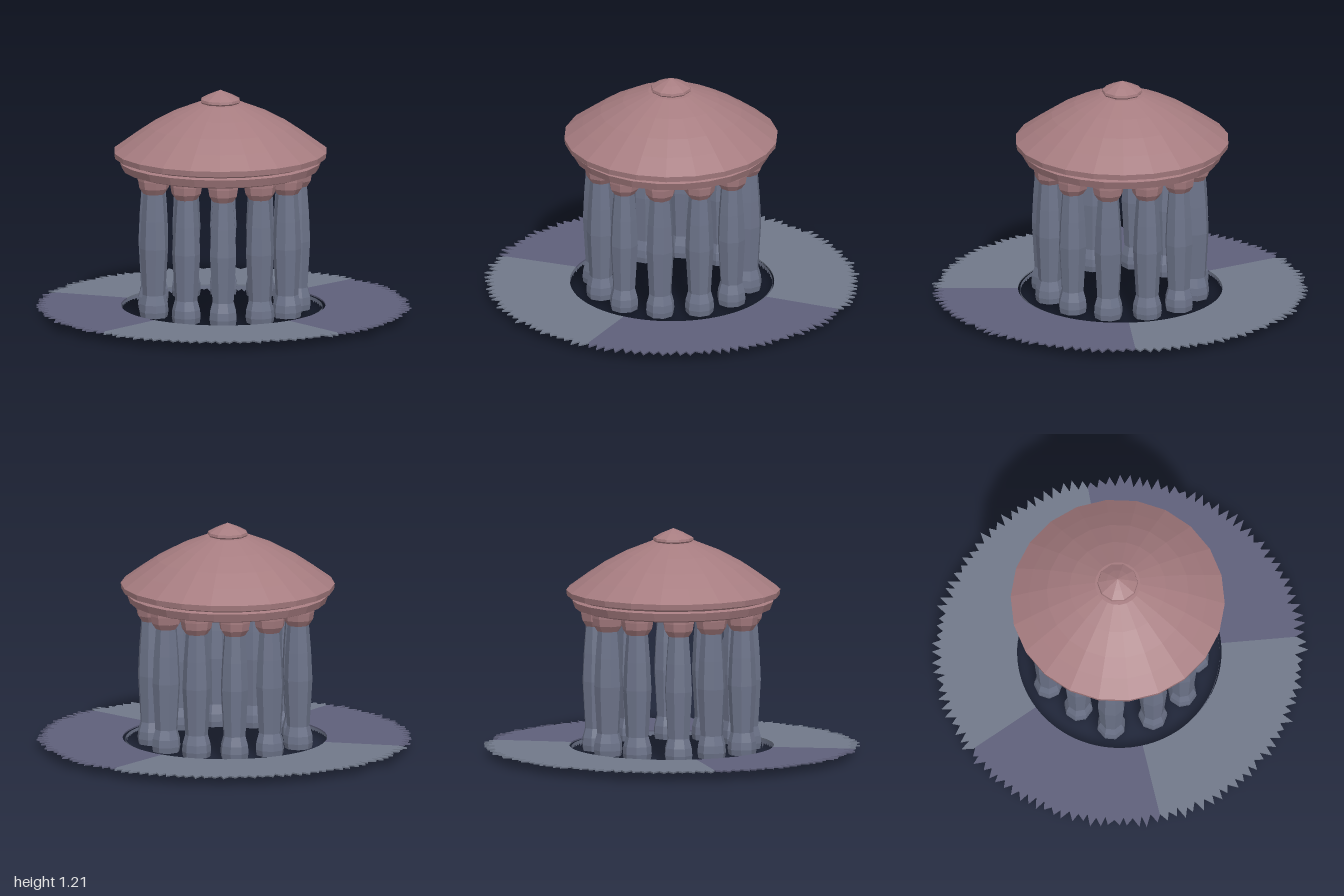
import * as THREE from 'three';

const TAU = Math.PI * 2;
const mat = (color) => new THREE.MeshStandardMaterial({ color, flatShading: true, side: THREE.DoubleSide });
const rose = mat(0xa67c80), slate = mat(0x6d748a), stone = mat(0x707889), stoneDark = mat(0x5e5f7a);

// Small seeded generator for the ragged edges
function seeded(seed) {
  return () => {
    seed = (seed * 16807) % 2147483647;
    return seed / 2147483647;
  };
}

function mesh(name, geometry, material) {
  const m = new THREE.Mesh(geometry, material);
  m.name = name;
  return m;
}

const lathe = (profile, sides) =>
  new THREE.LatheGeometry(profile.map(([r, y]) => new THREE.Vector2(r, y)), sides);

// One sector of the ground ring with a ragged outer edge
function groundSector(from, to, rand) {
  const a0 = from * Math.PI / 180, a1 = to * Math.PI / 180;
  const teeth = Math.round((a1 - a0) / TAU * 120);
  const shape = new THREE.Shape();
  const at = (r, a) => [r * Math.cos(a), r * Math.sin(a)];
  shape.moveTo(...at(0.54, a0));
  shape.lineTo(...at(0.94, a0));
  for (let i = 0; i < teeth; i++) {
    const step = (a1 - a0) / teeth;
    shape.lineTo(...at(0.965 + 0.032 * rand(), a0 + step * (i + 0.3 + 0.4 * rand())));
    shape.lineTo(...at(0.925 + 0.02 * rand(), a0 + step * (i + 1)));
  }
  for (let i = 30; i > 0; i--) shape.lineTo(...at(0.54, a0 + (a1 - a0) * i / 30));
  const geometry = new THREE.ExtrudeGeometry(shape, { depth: 0.008, bevelEnabled: false });
  return geometry.rotateX(Math.PI / 2).translate(0, 0.052, 0);
}

// Ragged fringe hanging from the inner edge of the ground ring
function fringe(rand) {
  const n = 110, pos = [];
  const p = (a, y) => [0.535 * Math.cos(a), y, 0.535 * Math.sin(a)];
  for (let i = 0; i < n; i++) {
    const a = i / n * TAU, b = (i + 1) / n * TAU;
    const tip = i % 29 === 0 ? 0 : 0.012 + 0.014 * rand();
    pos.push(...p(a, 0.046), ...p(b, 0.046), ...p(a, 0.03));
    pos.push(...p(b, 0.046), ...p(b, 0.03), ...p(a, 0.03));
    pos.push(...p(a, 0.03), ...p(b, 0.03), ...p((a + b) / 2, tip));
  }
  const geometry = new THREE.BufferGeometry();
  geometry.setAttribute('position', new THREE.Float32BufferAttribute(pos, 3));
  geometry.computeVertexNormals();
  return geometry;
}

export function createModel() {
  const model = new THREE.Group();
  model.name = 'rotunda';
  const rand = seeded(77);

  // Ground ring in light and dark patches
  const ground = new THREE.Group();
  ground.name = 'ground';
  [[-45, 50, stoneDark], [50, 132, stone], [132, 200, stoneDark], [200, 315, stone]]
    .forEach(([a, b, m]) => ground.add(mesh('groundPatch', groundSector(a, b, rand), m)));
  const skirt = mesh('groundFringe', fringe(rand), slate);
  skirt.position.x = -0.01;
  ground.add(skirt);
  model.add(ground);

  // Ring of swelling columns with flared capitals
  const shaft = lathe([
    [0, 0.03], [0.072, 0.03], [0.077, 0.06], [0.074, 0.1], [0.06, 0.15],
    [0.066, 0.25], [0.075, 0.4], [0.068, 0.55], [0.056, 0.705],
  ], 8);
  const capital = lathe([[0.054, 0.69], [0.078, 0.725], [0.085, 0.765], [0.085, 0.8]], 8);
  for (let i = 0; i < 12; i++) {
    const a = i / 12 * TAU;
    const column = new THREE.Group();
    column.name = 'column';
    column.add(mesh('shaft', shaft, slate), mesh('capital', capital, rose));
    column.position.set(0.39 * Math.cos(a), 0, 0.405 * Math.sin(a));
    // the far left side of the ring is slightly flattened
    if (column.position.x < -0.3) column.position.x = i === 6 ? -0.378 : -0.365;
    column.rotation.y = -a + Math.PI / 8;
    model.add(column);
  }

  // Roof: ring beam, eaves, dome and pointed cap
  const roof = new THREE.Group();
  roof.name = 'roof';
  roof.position.x = -0.015;
  roof.add(
    mesh('ringBeam', lathe([
      [0, 0.9], [0.2, 0.885], [0.32, 0.85], [0.325, 0.785], [0.49, 0.78],
      [0.52, 0.79], [0.535, 0.832], [0.515, 0.84], [0.53, 0.855],
    ], 24), rose),
    mesh('dome', lathe([
      [0.52, 0.85], [0.562, 0.855], [0.566, 0.885], [0.47, 0.955],
      [0.375, 1.02], [0.255, 1.085], [0.12, 1.14], [0, 1.15],
    ], 22), rose),
    mesh('cap', lathe([[0.09, 1.13], [0.108, 1.15], [0.105, 1.163], [0.06, 1.187], [0, 1.212]], 10), rose),
  );
  model.add(roof);
  return model;
}
